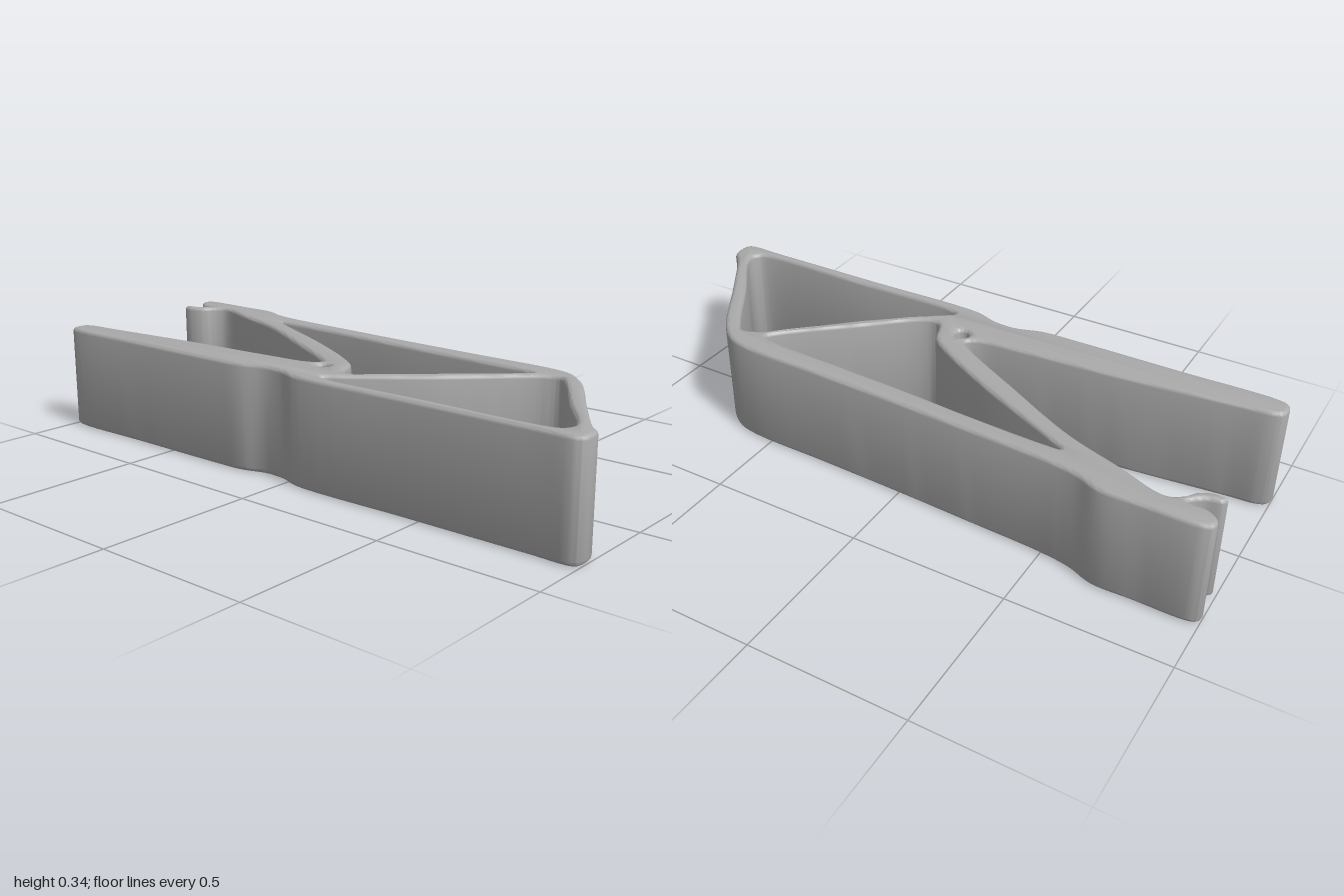
import * as THREE from 'three';
import { toCreasedNormals } from 'three/addons/utils/BufferGeometryUtils.js';

const HEIGHT = 0.342, BASE = 0.005, BEVEL = 0.013;

// smooth closed loop through [x, z] points, as shape points (shape y = -z)
function loop(points, n) {
  const curve = new THREE.CatmullRomCurve3(
    points.map(([x, z]) => new THREE.Vector3(x, -z, 0)), true, 'centripetal');
  return curve.getPoints(n).slice(0, -1).map(p => new THREE.Vector2(p.x, p.y));
}

export function createModel() {
  const group = new THREE.Group();
  group.name = 'trussBracket';
  const grey = new THREE.MeshStandardMaterial({ color: 0xaaaaaa });
  grey.name = 'grey';

  // outer contour: upper arm, sloping end, front panel, lower arm, diagonal, hooked prong
  const outline = loop([
    [-0.98, -0.328], [-0.8, -0.331], [-0.68, -0.33], [-0.6, -0.3], [-0.5, -0.284],
    [-0.25, -0.27], [0, -0.257], [0.3, -0.246], [0.57, -0.237], [0.645, -0.216],
    [0.715, -0.155], [0.84, 0.035], [0.965, 0.22], [0.995, 0.25], [0.998, 0.31], [0.98, 0.328],
    [0.85, 0.329], [0.45, 0.329], [0.05, 0.329], [-0.03, 0.304], [-0.1, 0.3], [-0.19, 0.325],
    [-0.3, 0.329], [-0.65, 0.33], [-0.97, 0.33], [-0.997, 0.315], [-0.997, 0.268], [-0.97, 0.25],
    [-0.87, 0.24], [-0.5, 0.203], [-0.2, 0.183], [-0.04, 0.166], [-0.007, 0.143], [-0.03, 0.12],
    [-0.26, -0.01], [-0.5, -0.138], [-0.69, -0.205], [-0.84, -0.257],
    [-0.88, -0.238], [-0.91, -0.202], [-0.955, -0.184], [-0.99, -0.192], [-0.982, -0.208],
    [-0.935, -0.222], [-0.9, -0.254], [-0.96, -0.258], [-0.996, -0.285], [-0.998, -0.312],
  ], 260).reverse();
  const shape = new THREE.Shape(outline);

  // long window between the upper arm and the two diagonals
  const longWindow = [
    [-0.515, -0.214], [-0.47, -0.217], [-0.2, -0.205], [0, -0.19], [0.35, -0.173], [0.52, -0.163],
    [0.553, -0.148], [0.53, -0.115], [0.35, 0.045], [0.17, 0.197], [0.125, 0.197],
    [0.085, 0.115], [0.03, 0.07], [-0.18, -0.05], [-0.45, -0.18],
  ];
  // end window between the diagonal, sloping end and front panel
  const endWindow = [
    [0.645, -0.155], [0.68, -0.12], [0.8, 0.06], [0.925, 0.243], [0.915, 0.278], [0.88, 0.292],
    [0.5, 0.293], [0.14, 0.293], [0.11, 0.28], [0.17, 0.23], [0.35, 0.085], [0.56, -0.115], [0.6, -0.142],
  ];
  for (const pts of [longWindow, endWindow]) shape.holes.push(new THREE.Path(loop(pts, 100)));

  // pivot hole
  const pivot = new THREE.Path();
  pivot.absarc(0.025, -0.177, 0.023, 0, Math.PI * 2, true);
  shape.holes.push(pivot);

  const geo = new THREE.ExtrudeGeometry(shape, {
    depth: HEIGHT - 2 * BEVEL, bevelEnabled: true, bevelThickness: BEVEL,
    bevelSize: BEVEL, bevelOffset: -BEVEL, bevelSegments: 3, curveSegments: 20,
  });
  geo.rotateX(-Math.PI / 2);
  geo.translate(0, BASE + BEVEL, 0);

  const frame = new THREE.Mesh(toCreasedNormals(geo, 0.75), grey);
  frame.name = 'trussFrame';
  group.add(frame);
  return group;
}
